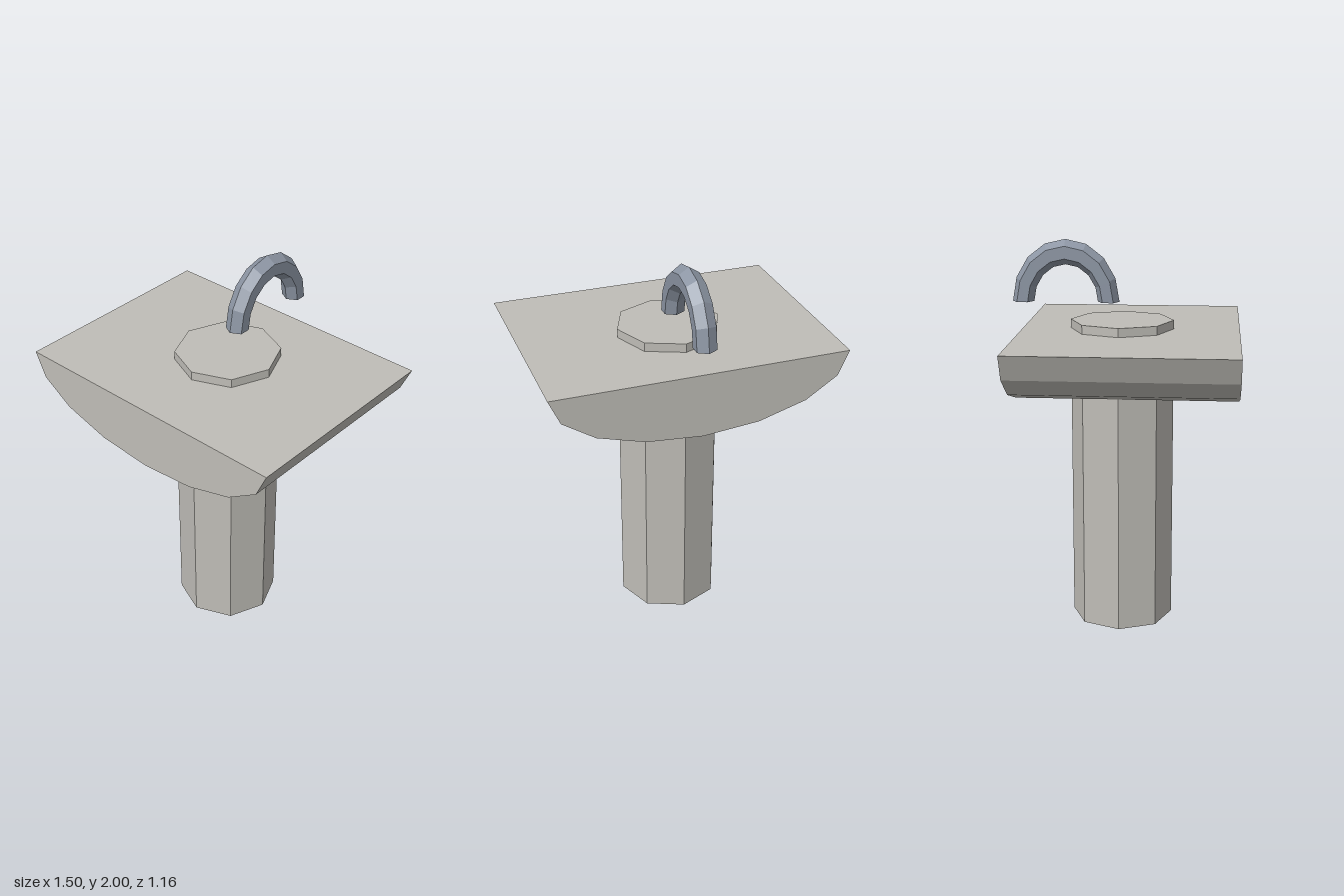
import * as THREE from 'three';
import { mergeGeometries } from 'three/addons/utils/BufferGeometryUtils.js';

export function createModel() {
  const model = new THREE.Group();
  model.name = 'pedestalBasin';
  const stone = new THREE.MeshStandardMaterial({ color: 0xbfbdb7, flatShading: true });
  stone.name = 'pale stone';
  const metal = new THREE.MeshStandardMaterial({ color: 0x8c95a3, flatShading: true });
  metal.name = 'grey metal';

  const add = (name, geometry, material, x, y, z) => {
    const mesh = new THREE.Mesh(geometry, material);
    mesh.name = name;
    mesh.position.set(x, y, z);
    model.add(mesh);
    return mesh;
  };

  // Octagonal column, rising just above the basin top
  const columnHeight = 1.595;
  add('column', new THREE.CylinderGeometry(0.264, 0.264, columnHeight, 8), stone,
    0, columnHeight / 2, -0.018);

  // Basin: lower half of an eight-sided elliptical arc, extruded front to back
  const profile = [];
  for (let i = 0; i <= 8; i++) {
    const a = Math.PI + (i * Math.PI) / 8;
    profile.push(new THREE.Vector2(0.75 * Math.cos(a), 0.33 * Math.sin(a)));
  }
  const basin = new THREE.ExtrudeGeometry(new THREE.Shape(profile), { depth: 1.105, bevelEnabled: false });
  add('basin', basin, stone, 0, 1.55, -0.525);

  // Spout: six-sided half ring with closed ends, slightly taller than wide
  const ring = 0.218, tube = 0.055;
  const parts = [new THREE.TorusGeometry(ring, tube, 6, 8, Math.PI)];
  for (const side of [-1, 1]) {
    parts.push(new THREE.CircleGeometry(tube, 6).rotateX(Math.PI / 2).translate(side * ring, 0, 0));
  }
  const spout = mergeGeometries(parts);
  spout.scale(1, 1.154, 1.05).rotateY(Math.PI / 2);
  add('spout', spout, metal, 0, 1.685, -0.305);

  return model;
}
